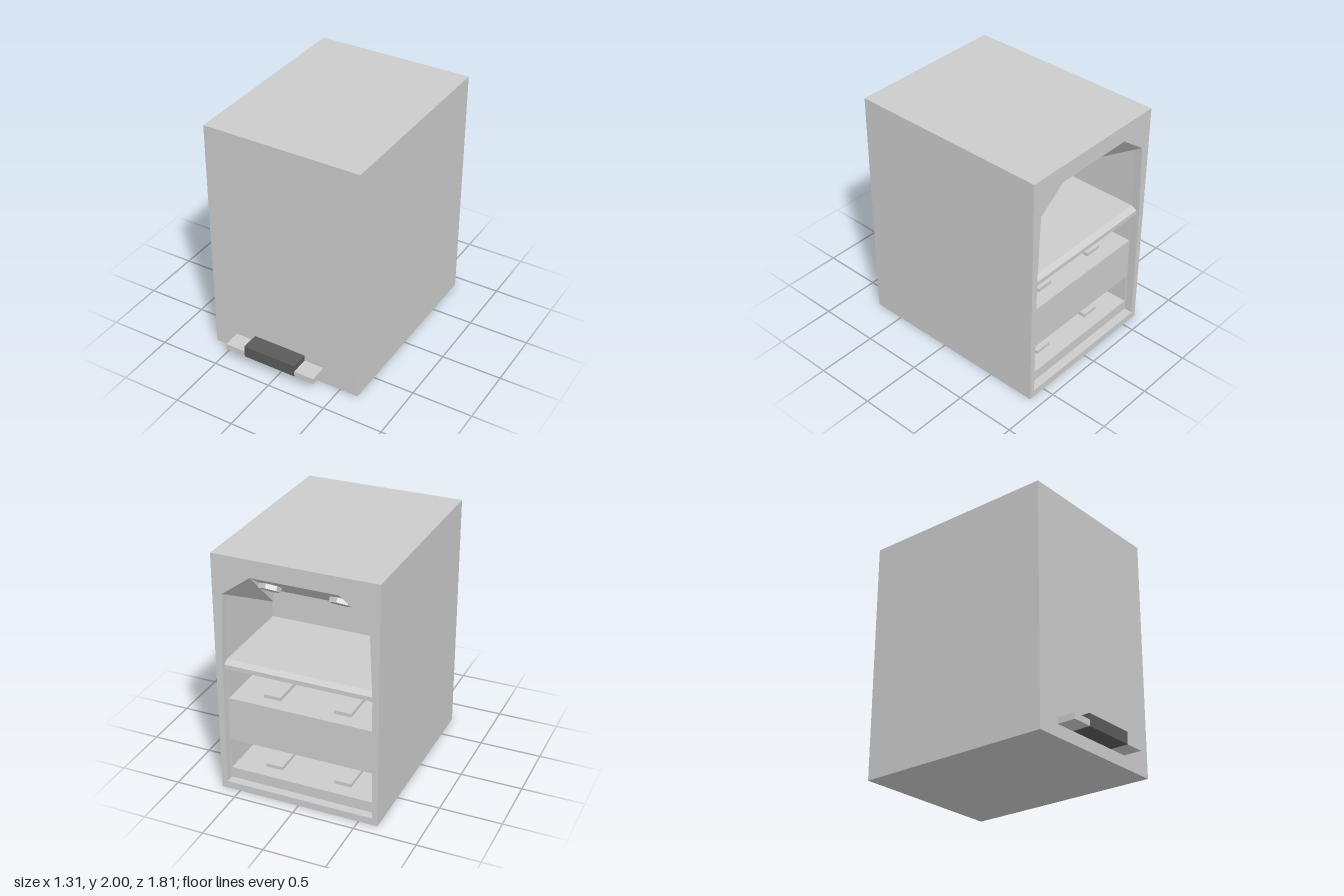
import * as THREE from 'three';

const grey = new THREE.MeshStandardMaterial({ color: 0xcccccc, flatShading: true });
const thin = new THREE.MeshStandardMaterial({ color: 0xcccccc, flatShading: true, side: THREE.DoubleSide });
const dark = new THREE.MeshStandardMaterial({ color: 0x5a5a5a, flatShading: true });

const W = 0.655, BACK = -0.905, RECESS = -0.835, INNER = -0.07, FRONT = 0.755;

export function createModel() {
  const model = new THREE.Group();

  const add = (name, geometry, material = grey) => {
    const mesh = new THREE.Mesh(geometry, material);
    mesh.name = name;
    model.add(mesh);
    return mesh;
  };
  // Box given by its limits on each axis
  const block = (name, [x0, x1], [y0, y1], [z0, z1], material) => {
    const mesh = add(name, new THREE.BoxGeometry(x1 - x0, y1 - y0, z1 - z0), material);
    mesh.position.set((x0 + x1) / 2, (y0 + y1) / 2, (z0 + z1) / 2);
    return mesh;
  };

  // Cabinet: solid front, side walls and roof around an open back
  block('cabinetFront', [-W, W], [0, 2], [INNER, FRONT]);
  block('leftWall', [0.6, W], [0, 2], [RECESS, INNER]);
  block('rightWall', [-W, -0.6], [0, 2], [RECESS, INNER]);
  block('roof', [-0.6, 0.6], [1.92, 2], [RECESS, INNER]);

  // Back frame with chamfered upper corners in its opening
  const frame = new THREE.Shape([[-W, 0], [W, 0], [W, 2], [-W, 2]].map(p => new THREE.Vector2(...p)));
  const half = [[0.61, 0.06], [0.602, 1.1], [0.575, 1.69], [0.345, 1.86]];
  const opening = [...half, ...half.map(([x, y]) => [-x, y]).reverse()];
  frame.holes.push(new THREE.Path(opening.map(p => new THREE.Vector2(...p))));
  add('backFrame', new THREE.ExtrudeGeometry(frame, { depth: RECESS - BACK, bevelEnabled: false }))
    .position.z = BACK;

  // Solid tiers below the two slots, and the main shelf
  block('lowerTier', [-0.6, 0.6], [0, 0.15], [RECESS, INNER]);
  block('middleTier', [-0.6, 0.6], [0.41, 0.775], [RECESS, INNER]);
  block('mainShelf', [-0.6, 0.6], [1.035, 1.115], [RECESS, INNER]);

  // Bevelled lip on the shelf edge
  const lip = new THREE.Shape([[0, 1.035], [0.045, 1.055], [0.045, 1.09], [0, 1.115]]
    .map(p => new THREE.Vector2(...p)));
  const lipMesh = add('shelfLip', new THREE.ExtrudeGeometry(lip, { depth: 1.2, bevelEnabled: false }));
  lipMesh.rotation.y = Math.PI / 2;
  lipMesh.position.set(-0.6, 0, RECESS);

  // Pair of flat plates in each slot
  for (const y of [0.15, 0.775]) {
    for (const x of [-0.29, 0.29]) {
      block('slotPlate', [x - 0.07, x + 0.07], [y, y + 0.03], [-0.72, -0.3]);
    }
  }

  // Sloping hood under the roof
  const corners = side => [
    [side * 0.345, 1.86, BACK], [side * 0.575, 1.69, BACK],
    [side * 0.385, 1.47, -0.475], [side * 0.385, 1.57, -0.475], [side * 0.385, 1.47, INNER],
  ];
  const [a, b] = [corners(-1), corners(1)];
  const quads = [
    [a[0], a[3], b[3], b[0]], [a[3], a[2], b[2], b[3]], [a[2], a[4], b[4], b[2]],
    [a[0], a[1], a[2], a[3]], [b[0], b[3], b[2], b[1]],
  ];
  const hood = new THREE.BufferGeometry();
  hood.setAttribute('position', new THREE.Float32BufferAttribute(
    quads.flatMap(([p, q, r, s]) => [p, q, r, p, r, s]).flat(2), 3));
  hood.computeVertexNormals();
  add('hood', hood, thin);

  // Six-sided lamps on the hood's slope
  const slope = Math.atan2(0.29, 0.43);
  for (const x of [-0.28, 0.28]) {
    const lamp = add('hoodLamp', new THREE.CylinderGeometry(0.085, 0.085, 0.05, 6));
    lamp.position.set(x, 1.72, -0.72);
    lamp.rotation.x = slope;
  }

  // Front step: dark raised centre between two low ends
  block('stepCentre', [-0.28, 0.18], [0.1, 0.2], [FRONT, 0.905], dark);
  block('stepEnd', [-0.455, -0.28], [0.1, 0.15], [FRONT, 0.905]);
  block('stepEnd', [0.18, 0.35], [0.1, 0.15], [FRONT, 0.905]);

  return model;
}
